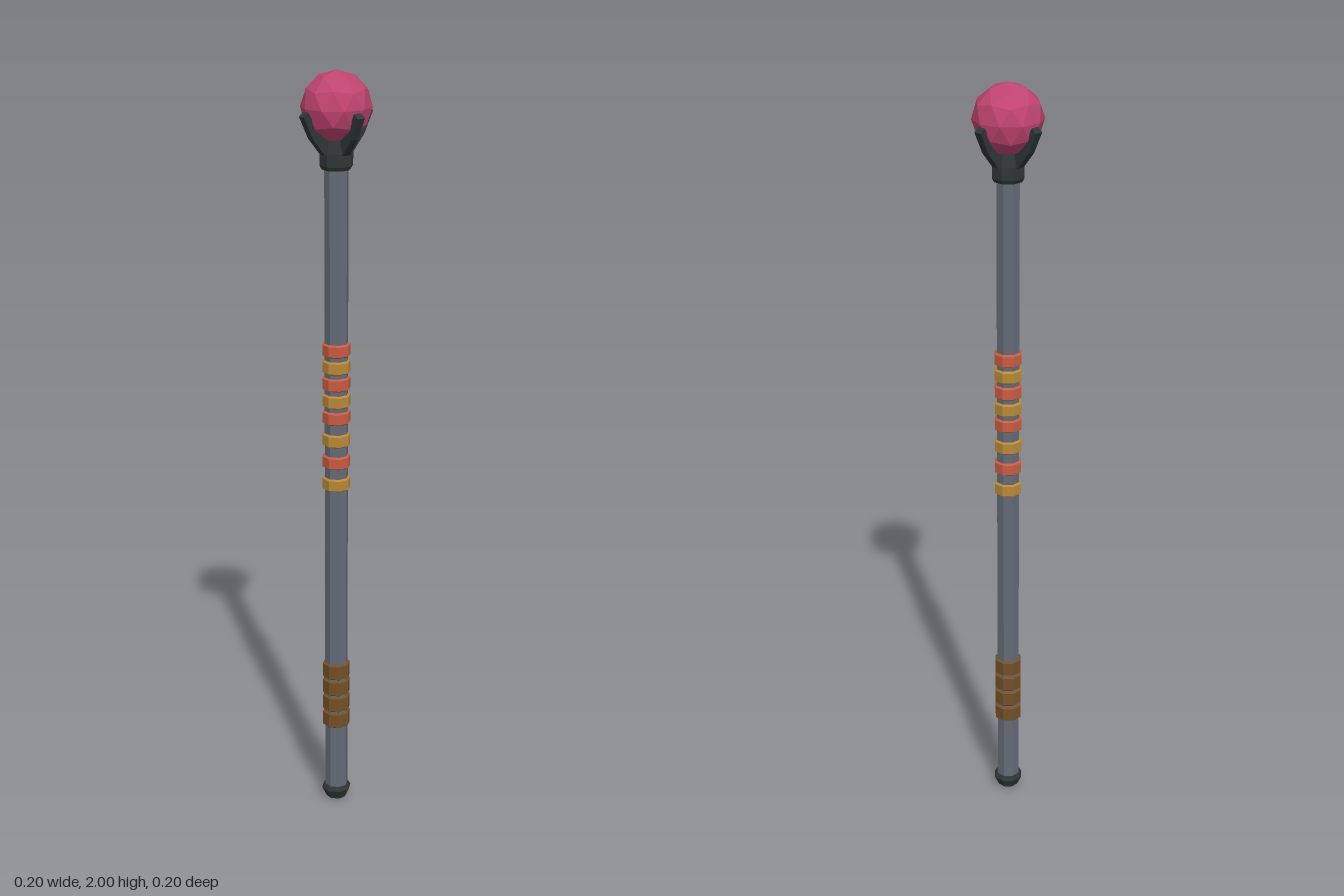
import * as THREE from 'three';

const mat = (name, color) => {
  const m = new THREE.MeshStandardMaterial({ color, flatShading: true });
  m.name = name;
  return m;
};

export function createModel() {
  const steel = mat('steel grey', 0x646a76);
  const iron = mat('dark iron', 0x2f3636);
  const red = mat('terracotta red', 0xc85c42);
  const gold = mat('ochre gold', 0xb98a38);
  const leather = mat('brown leather', 0x735029);
  const crystal = mat('rose crystal', 0xc0446f);

  const staff = new THREE.Group();
  staff.name = 'staff';
  const add = (name, geometry, material) => {
    const mesh = new THREE.Mesh(geometry, material);
    mesh.name = name;
    staff.add(mesh);
    return mesh;
  };
  // eight-sided turned part from [radius, height] pairs, bottom to top
  const turned = (name, profile, material) =>
    add(name, new THREE.LatheGeometry(profile.map(([r, y]) => new THREE.Vector2(r, y)), 8), material);
  // bevelled ring around the shaft
  const ring = (name, y, h, material) => turned(name, [
    [0.029, y - h / 2], [0.037, y - h / 2 + 0.005],
    [0.037, y + h / 2 - 0.005], [0.029, y + h / 2],
  ], material);

  // shaft
  const shaft = new THREE.CylinderGeometry(0.031, 0.031, 1.76, 8);
  shaft.translate(0, 0.9, 0);
  add('shaft', shaft, steel);

  // foot cap
  turned('footCap', [[0, 0], [0.027, 0.005], [0.04, 0.032], [0.034, 0.043], [0, 0.043]], iron);

  // leather grip wraps
  [0.39, 0.342, 0.294, 0.246].forEach((y) => ring('gripWrap', y, 0.047, leather));

  // coloured bands, alternating from the top
  [1.29, 1.245, 1.2, 1.154, 1.109, 1.048, 0.988, 0.927].forEach((y, i) =>
    ring('band', y, 0.037, i % 2 ? gold : red));

  // collar holding the orb
  turned('collar', [[0, 1.755], [0.037, 1.755], [0.043, 1.765], [0.043, 1.798], [0.035, 1.83], [0, 1.83]], iron);

  // orb, turned so one vertex points straight up
  const orb = new THREE.IcosahedronGeometry(0.09, 1);
  orb.rotateZ(Math.atan2(2, 1 + Math.sqrt(5)));
  orb.rotateY(Math.PI);
  orb.translate(0, 1.91, 0);
  add('orb', orb, crystal);

  // four bent claws
  const outline = [
    [0.03, 1.79], [0.043, 1.795], [0.078, 1.838], [0.104, 1.893],
    [0.09, 1.904], [0.064, 1.856], [0.03, 1.828],
  ];
  const claw = new THREE.ExtrudeGeometry(
    new THREE.Shape(outline.map(([x, y]) => new THREE.Vector2(x, y))),
    { depth: 0.022, bevelEnabled: false });
  claw.translate(0, 0, -0.011);
  for (let i = 0; i < 4; i++) {
    add('claw', claw, iron).rotation.y = Math.PI / 8 + i * Math.PI / 2;
  }
  return staff;
}
